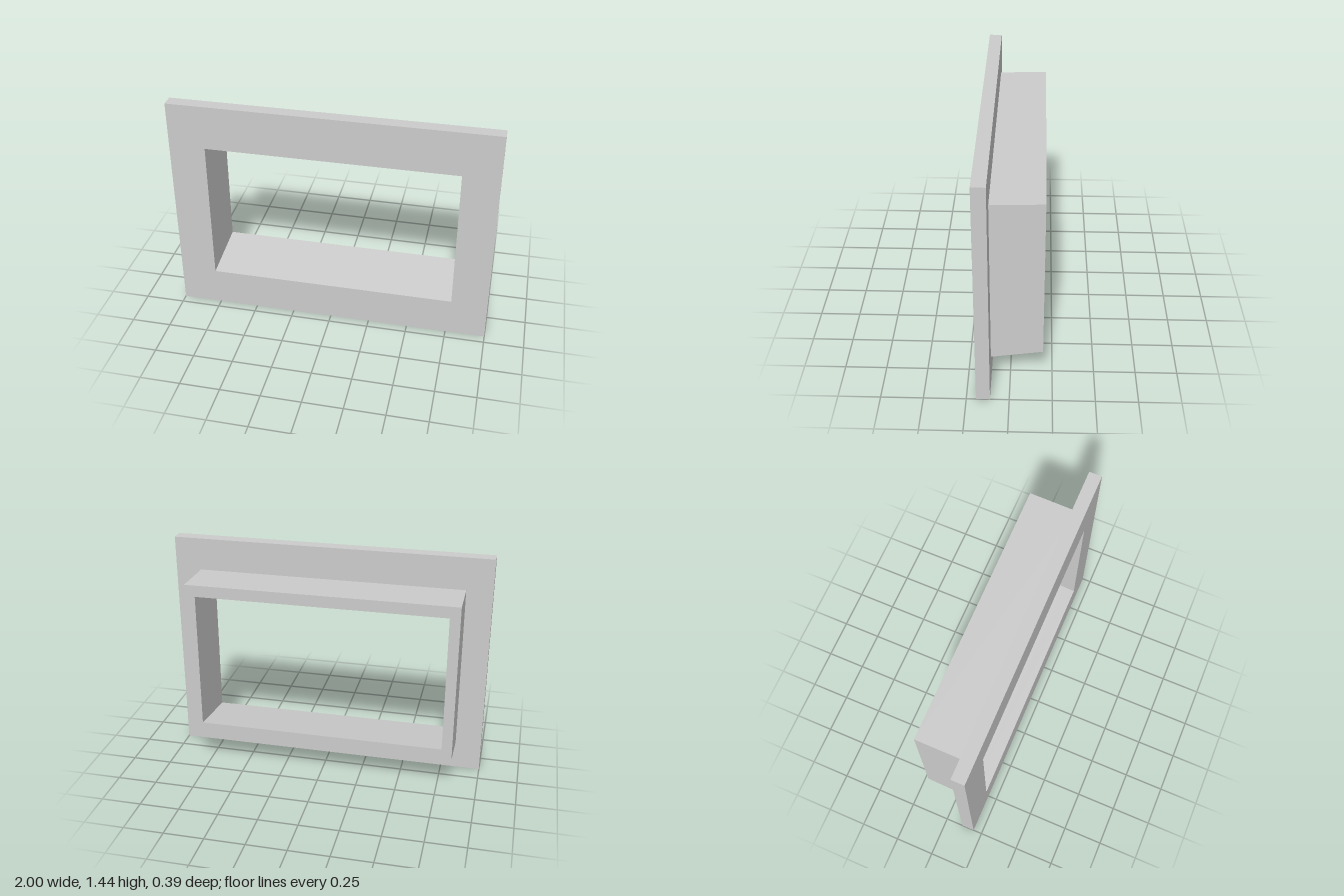
import * as THREE from 'three';

// Rectangular loop, counter-clockwise seen from the front
const loop = (halfW, bottom, top, z) =>
  [[-halfW, bottom, z], [halfW, bottom, z], [halfW, top, z], [-halfW, top, z]];

// Skins a sequence of rectangular loops with flat, hard-edged quads
function skinLoops(name, loops, material) {
  const positions = [];
  for (let k = 0; k < loops.length - 1; k++) {
    const a = loops[k], b = loops[k + 1];
    for (let i = 0; i < 4; i++) {
      const j = (i + 1) % 4;
      for (const p of [a[i], b[i], b[j], a[i], b[j], a[j]]) positions.push(...p);
    }
  }
  const geometry = new THREE.BufferGeometry();
  geometry.setAttribute('position', new THREE.Float32BufferAttribute(positions, 3));
  geometry.computeVertexNormals();
  const mesh = new THREE.Mesh(geometry, material);
  mesh.name = name;
  return mesh;
}

export function createModel() {
  const group = new THREE.Group();
  group.name = 'windowFrame';
  const material = new THREE.MeshStandardMaterial({ color: 0xcccccc, flatShading: true });

  const front = 0.193, plateBack = 0.112, back = -0.193;

  // The opening rises slightly towards the back, most of all at the sill
  const opening = (z) => {
    const t = (front - z) / (front - back);
    return loop(0.774, 0.244 + 0.053 * t, 1.16 + 0.01 * t, z);
  };
  const sleeveRoot = loop(0.838, 0.182, 1.235, plateBack);
  const sleeveEnd = loop(0.838, 0.228, 1.243, back);

  // Wide flat surround at the front
  group.add(skinLoops('facePlate', [
    opening(plateBack), opening(front),
    loop(1, 0, 1.44, front), loop(1, 0, 1.44, plateBack), sleeveRoot,
  ], material));

  // Sloped rectangular sleeve behind the plate
  group.add(skinLoops('sleeve', [
    sleeveRoot, sleeveEnd, opening(back), opening(plateBack),
  ], material));

  return group;
}
